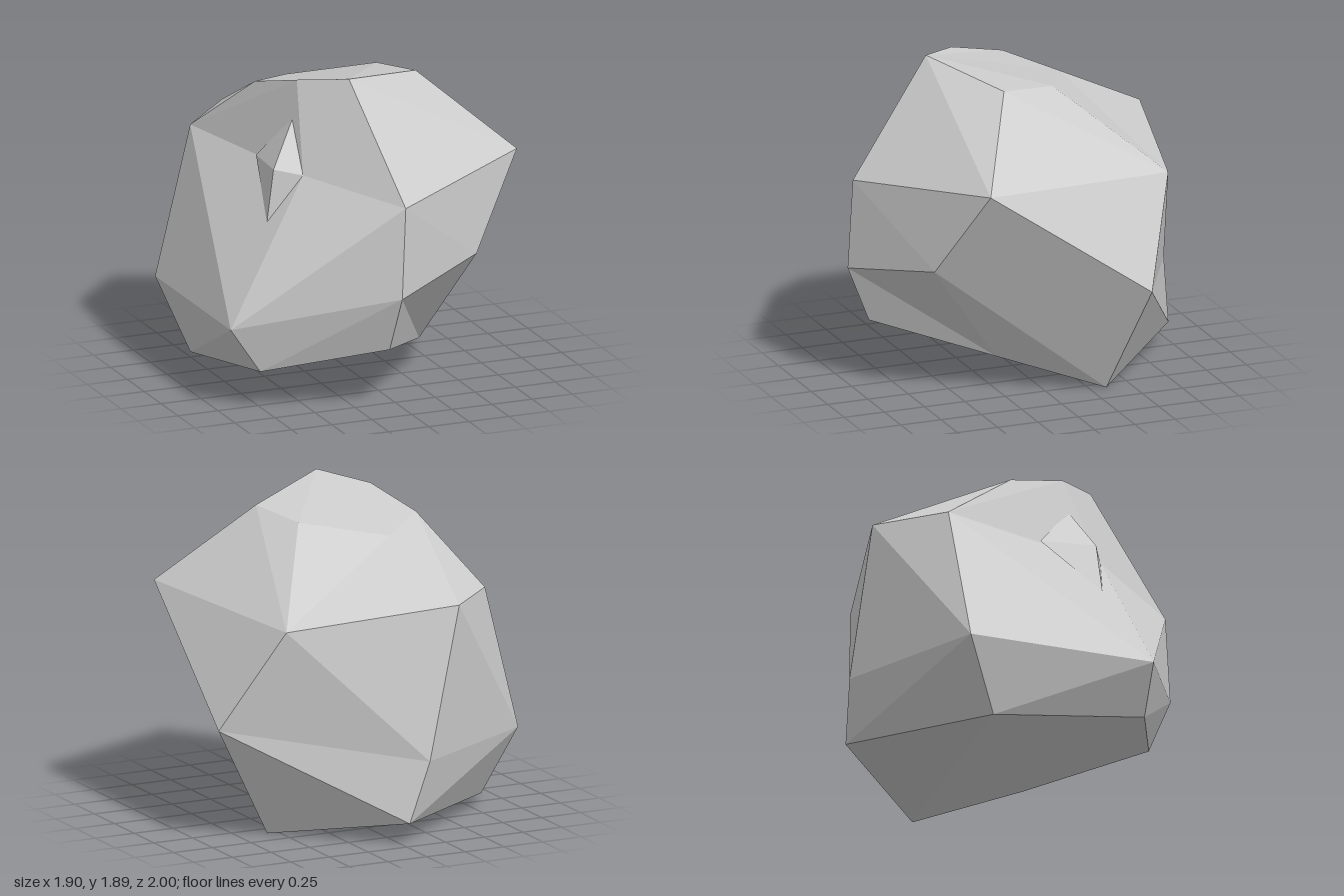
import * as THREE from 'three';

// Corners of the boulder
const P = {
  // crown
  crownFront: [-0.17, 1.89, 0.47], crownLeft: [0.36, 1.8, 0.2], crownBackLeft: [0.26, 1.76, -0.14],
  crownBack: [-0.21, 1.68, -0.37], crownBackRight: [-0.5, 1.74, -0.14], crownRight: [-0.39, 1.84, 0.22],
  // shoulder
  shFront: [-0.03, 1.24, 0.98], shLeft: [0.87, 1.35, 0.49], shBackLeft: [0.63, 1.28, -0.71],
  shBack: [-0.37, 1.38, -0.94], shBackRight: [-0.71, 1.37, -0.6], dent: [-0.44, 1.33, 0.43],
  // waist
  waFront: [-0.06, 0.7, 1], waLeft: [0.53, 0.82, 0.7], waBackLeft: [0.95, 0.68, -0.48],
  waBack: [-0.15, 0.49, -1], waBackRight: [-0.95, 0.5, -0.55], waRight: [-0.95, 0.5, 0.57],
  // foot
  ftFront: [-0.08, 0.36, 0.86], ftLeft: [0.36, 0.2, 0.25], ftBackLeft: [0.57, 0, -0.35],
  ftBack: [-0.03, 0.13, -0.98], ftBackRight: [-0.81, 0.08, -0.36], ftRight: [-0.77, 0.23, 0.58],
  // small outcrop on the right side
  tip: [-0.59, 1.36, 0.35], top: [-0.42, 1.63, 0.24], low: [-0.64, 1.05, 0.37], back: [-0.56, 1.35, 0.02],
};

// Facets as corner loops
const boulder = [
  'crownFront crownLeft crownBackLeft crownBack crownBackRight crownRight',
  'crownBack crownBackLeft shBackLeft shBack',
  'crownBackRight crownBack shBack shBackRight',
  'crownFront shFront shLeft crownLeft',
  'crownLeft shLeft shBackLeft crownBackLeft',
  'crownFront crownRight dent shFront',
  'crownRight crownBackRight shBackRight dent',
  'shFront dent waRight waFront',
  'shFront waFront waLeft shLeft',
  'shLeft waLeft waBackLeft shBackLeft',
  'waBack waBackLeft shBackLeft',
  'waBack shBackLeft shBack',
  'waBackRight waBack shBack shBackRight',
  'waRight waBackRight shBackRight',
  'waRight shBackRight dent',
  'waFront ftFront ftLeft waLeft',
  'waLeft ftLeft ftBackLeft waBackLeft',
  'waFront waRight ftRight ftFront',
  'waRight ftRight ftBackRight',
  'waRight ftBackRight waBackRight',
  'waBackRight ftBackRight ftBack waBack',
  'waBack ftBack waBackLeft',
  'ftBack ftBackLeft waBackLeft',
  'ftFront ftRight ftBackRight ftLeft',
  'ftLeft ftBackRight ftBackLeft',
  'ftBackLeft ftBackRight ftBack',
];
const outcrop = ['tip top dent', 'tip dent low', 'tip low back', 'tip back top'];

// Fan each loop into triangles, turned to face away from the centre
function facetMesh(name, loops, centre, material) {
  const pos = [];
  for (const loop of loops) {
    const c = loop.split(' ').map((k) => new THREE.Vector3(...P[k]));
    for (let i = 1; i < c.length - 1; i++) {
      const tri = new THREE.Triangle(c[0], c[i], c[i + 1]);
      const n = tri.getNormal(new THREE.Vector3());
      const out = tri.getMidpoint(new THREE.Vector3()).sub(centre);
      const order = n.dot(out) > 0 ? [tri.a, tri.b, tri.c] : [tri.a, tri.c, tri.b];
      order.forEach((v) => pos.push(v.x, v.y, v.z));
    }
  }
  const geo = new THREE.BufferGeometry();
  geo.setAttribute('position', new THREE.Float32BufferAttribute(pos, 3));
  geo.computeVertexNormals();
  const mesh = new THREE.Mesh(geo, material);
  mesh.name = name;
  return mesh;
}

export function createModel() {
  const group = new THREE.Group();
  group.name = 'rock';
  const stone = new THREE.MeshStandardMaterial({ color: 0xcccccc, flatShading: true });
  group.add(facetMesh('boulder', boulder, new THREE.Vector3(0, 0.95, 0), stone));
  group.add(facetMesh('outcrop', outcrop, new THREE.Vector3(-0.51, 1.34, 0.27), stone));
  return group;
}
